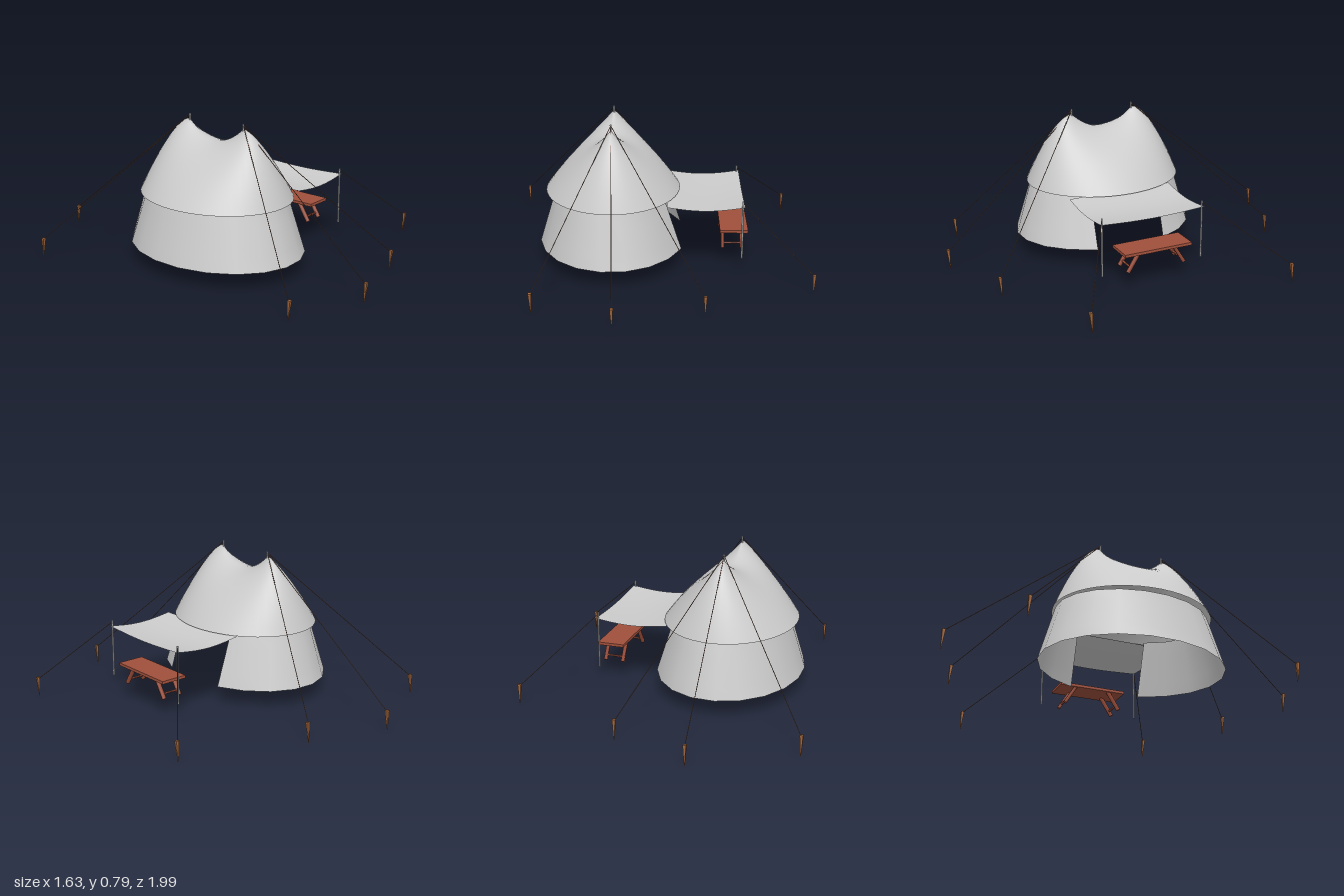
import * as THREE from 'three';
import { ParametricGeometry } from 'three/addons/geometries/ParametricGeometry.js';
import { mergeVertices } from 'three/addons/utils/BufferGeometryUtils.js';

const CX = -0.245, CZ = 0.05, GROUND = 0.1, EAVES = 0.39;

export function createModel() {
  const model = new THREE.Group();
  const canvas = new THREE.MeshStandardMaterial({ color: 0xcccccc, side: THREE.DoubleSide });
  const metal = new THREE.MeshStandardMaterial({ color: 0xcccccc });
  const paintedWood = new THREE.MeshStandardMaterial({ color: 0xa0503c });
  const pegWood = new THREE.MeshStandardMaterial({ color: 0xa0653c });
  const hemp = new THREE.MeshStandardMaterial({ color: 0x7a5546 });

  const add = (name, geometry, material, parent = model) => {
    const mesh = new THREE.Mesh(geometry, material);
    mesh.name = name;
    parent.add(mesh);
    return mesh;
  };

  // Smooth cloth surface from a rule (u, v) -> [x, y, z]
  const cloth = (name, rule, slices, stacks) => {
    const g = new ParametricGeometry((u, v, p) => p.set(...rule(u, v)), slices, stacks);
    g.deleteAttribute('normal');
    g.deleteAttribute('uv');
    const merged = mergeVertices(g, 1e-5);
    merged.computeVertexNormals();
    return add(name, merged, canvas);
  };

  // Straight round or square bar between two points
  const bar = (name, from, to, radius, sides, material, parent = model) => {
    const a = new THREE.Vector3(...from), b = new THREE.Vector3(...to);
    const g = new THREE.CylinderGeometry(radius, radius, a.distanceTo(b), sides);
    if (sides === 4) g.rotateY(Math.PI / 4);
    const mesh = add(name, g, material, parent);
    mesh.position.copy(a).lerp(b, 0.5);
    mesh.quaternion.setFromUnitVectors(new THREE.Vector3(0, 1, 0), b.sub(a).normalize());
    return mesh;
  };

  // Roof: spreads from a sagging ridge with two peaks to an oval edge
  cloth('roof', (u, t) => {
    const a = (u % 1) * Math.PI * 2, c = Math.cos(a), s = Math.sin(a);
    const ridge = 0.68 + 0.09 * s * s;
    return [
      CX + 0.366 * c * t,
      EAVES + (ridge - EAVES) * (1 - Math.pow(t, 1.75)),
      CZ + s * THREE.MathUtils.lerp(0.185, 0.44, t),
    ];
  }, 48, 16);

  // Flared wall, open at the doorway on the awning side
  cloth('wall', (u, t) => {
    const rx = THREE.MathUtils.lerp(0.315, 0.406, t);
    const rz = THREE.MathUtils.lerp(0.425, 0.512, t);
    const door = Math.asin(0.2 / rz);
    const a = THREE.MathUtils.lerp(door, Math.PI * 2 - door, u);
    return [CX + rx * Math.cos(a), THREE.MathUtils.lerp(EAVES + 0.005, GROUND, t), CZ + rz * Math.sin(a)];
  }, 17, 4);

  // Awning sheet, sagging between the eaves and its posts
  cloth('awning', (u, t) => {
    const sag = 0.02 * Math.sin(Math.PI * t) + 0.012 * Math.sin(Math.PI * u) * t;
    return [THREE.MathUtils.lerp(0.05, 0.46, t), 0.389 - sag, THREE.MathUtils.lerp(-0.22, 0.38, u)];
  }, 12, 12);

  // Awning posts
  for (const z of [-0.208, 0.373]) {
    bar('awningPost', [0.448, GROUND, z], [0.448, 0.42, z], 0.005, 8, metal);
  }

  // Pole tips on the two peaks
  for (const z of [-0.133, 0.233]) {
    bar('poleTip', [CX, 0.72, z], [CX, 0.795, z], 0.005, 8, metal);
  }

  // Pegs and guy ropes: peg x, peg z, then the point the rope is tied to
  const back = [CX, 0.79, -0.133], front = [CX, 0.79, 0.233];
  const guys = [
    [-0.81, -0.72, back], [-0.305, -0.988, back], [0.115, -0.835, back],
    [-0.625, 0.82, front], [-0.215, 0.985, front], [0.24, 0.85, front],
    [0.755, -0.59, [0.448, 0.412, -0.208]], [0.805, 0.595, [0.448, 0.412, 0.373]],
  ];
  for (const [x, z, tie] of guys) {
    const g = new THREE.CylinderGeometry(0.012, 0.002, 0.108, 4).toNonIndexed();
    g.computeVertexNormals();
    const peg = add('peg', g, pegWood);
    peg.position.set(x, 0.054, z);
    peg.rotation.set(0.08, Math.PI / 4, 0);
    bar('guyRope', [x, 0.098, z], tie, 0.002, 5, hemp);
  }

  // Trestle table under the awning
  const table = new THREE.Group();
  table.name = 'table';
  model.add(table);
  add('tableTop', new THREE.BoxGeometry(0.152, 0.016, 0.39), paintedWood, table).position.set(0.412, 0.204, 0.065);
  for (const side of [-1, 1]) {
    const z = (d) => 0.065 + side * d;
    for (const x of [0.353, 0.456]) {
      bar('tableLeg', [x, 0.2, z(0.1)], [x, 0.097, z(0.165)], 0.012, 4, paintedWood, table);
    }
    bar('tableCrossbar', [0.353, 0.122, z(0.149)], [0.456, 0.122, z(0.149)], 0.006, 4, paintedWood, table);
  }
  return model;
}
